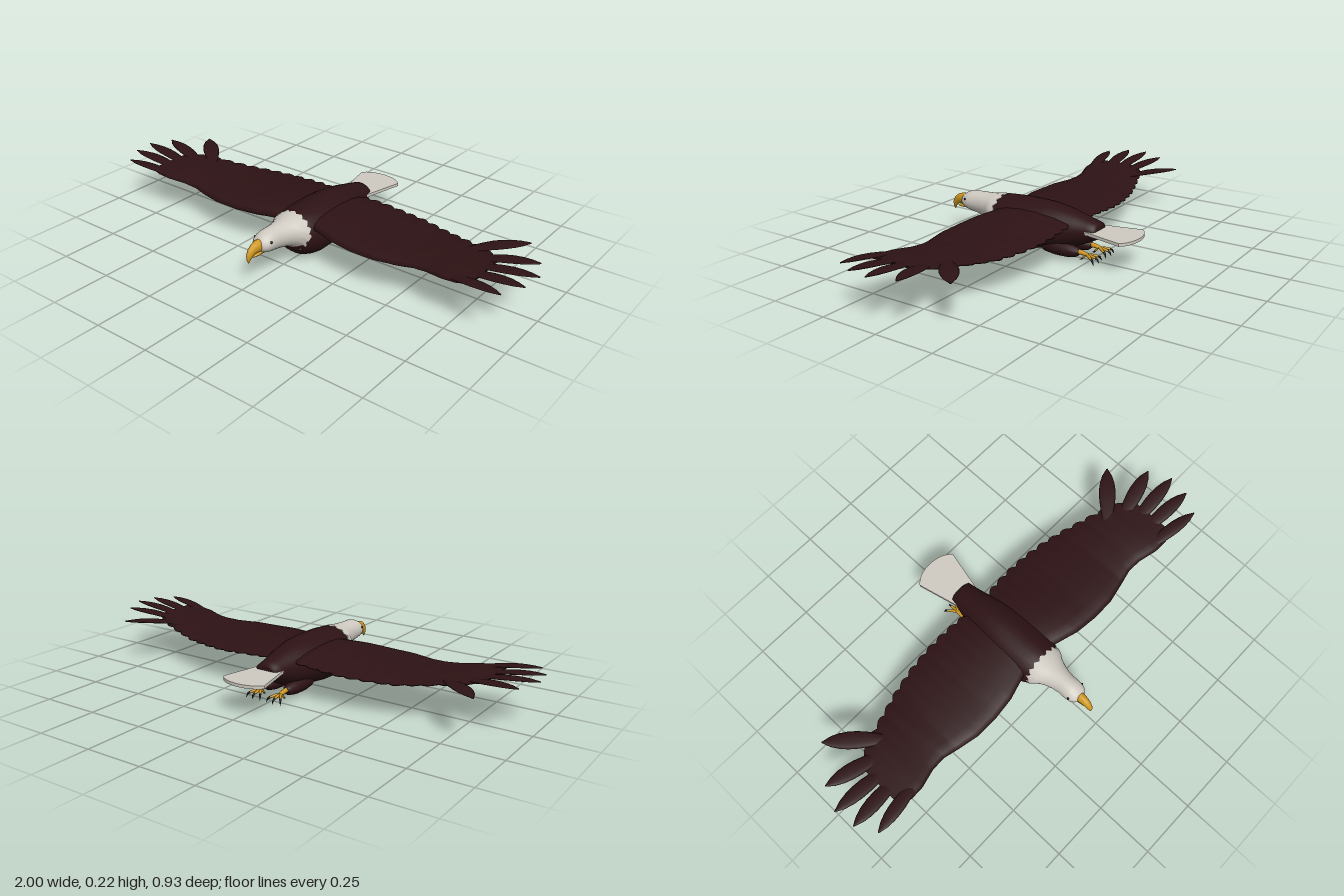
import * as THREE from 'three';

const mat = (name, color) => Object.assign(new THREE.MeshStandardMaterial({ color }), { name });
const V = (x, y, z) => new THREE.Vector3(x, y, z);

// Skin over closed rings of points, with flat caps at both ends
function loft(rings) {
  const n = rings[0].length, pos = [], idx = [];
  const add = (p) => pos.push(p.x, p.y, p.z) / 3 - 1;
  rings.forEach((r) => r.forEach(add));
  for (let k = 0; k < rings.length - 1; k++) {
    for (let j = 0; j < n; j++) {
      const a = k * n + j, b = k * n + (j + 1) % n;
      idx.push(a, b, b + n, a, b + n, a + n);
    }
  }
  [rings[0], rings[rings.length - 1]].forEach((r, end) => {
    const c = add(r.reduce((s, p) => s.add(p), V(0, 0, 0)).divideScalar(n));
    const first = c + 1;
    r.forEach(add);
    for (let j = 0; j < n; j++) {
      const a = first + j, b = first + (j + 1) % n;
      end ? idx.push(c, a, b) : idx.push(c, b, a);
    }
  });
  const g = new THREE.BufferGeometry();
  g.setAttribute('position', new THREE.Float32BufferAttribute(pos, 3));
  g.setIndex(idx);
  g.computeVertexNormals();
  return g;
}

// Upright oval rings from [z, top, bottom, halfWidth], listed back to front
function ovalBody(stations, n, jag = () => 0) {
  return loft(stations.map(([z, top, bottom, w], k) => Array.from({ length: n }, (_, j) => {
    const a = j / n * Math.PI * 2;
    return V(Math.cos(a) * w, (top + bottom) / 2 + Math.sin(a) * (top - bottom) / 2, z + jag(k, j, a));
  })));
}

// Oval section swept along a path, half widths and half heights given at each point
function sweep(path, widths, heights, side = V(1, 0, 0), n = 10) {
  return loft(path.map((p, k) => {
    const d = path[Math.min(k + 1, path.length - 1)].clone().sub(path[Math.max(k - 1, 0)]).normalize();
    const e1 = side.clone().addScaledVector(d, -side.dot(d)).normalize();
    const e2 = d.clone().cross(e1);
    return Array.from({ length: n }, (_, j) => {
      const a = j / n * Math.PI * 2;
      return p.clone().addScaledVector(e1, Math.cos(a) * widths[k]).addScaledVector(e2, Math.sin(a) * heights[k]);
    });
  }));
}

// Eased lookup in a list of [x, value]
function lookup(table, x) {
  let i = 0;
  while (i < table.length - 2 && x > table[i + 1][0]) i++;
  const [x0, a] = table[i], [x1, b] = table[i + 1];
  const t = THREE.MathUtils.clamp((x - x0) / (x1 - x0), 0, 1);
  return a + (b - a) * t;
}

const LEADING = [[0.03, 0.15], [0.1, 0.17], [0.2, 0.198], [0.3, 0.208], [0.4, 0.207], [0.48, 0.19], [0.56, 0.172], [0.62, 0.175], [0.7, 0.197], [0.76, 0.2], [0.81, 0.185]];
const TRAILING = [[0.03, -0.16], [0.1, -0.185], [0.2, -0.19], [0.3, -0.188], [0.4, -0.175], [0.5, -0.152], [0.6, -0.12], [0.7, -0.085], [0.77, -0.05], [0.81, -0.02]];
const HEIGHT = [[0.03, 0.16], [0.15, 0.157], [0.3, 0.149], [0.5, 0.148], [0.6, 0.157], [0.7, 0.17], [0.81, 0.181]];
const THICK = [[0.03, 0.035], [0.15, 0.03], [0.4, 0.022], [0.55, 0.018], [0.7, 0.011], [0.81, 0.005]];

// Wing section: rounded front, thin back, scalloped trailing edge
function wingGeometry(s) {
  const us = [1, 0.8, 0.55, 0.32, 0.14, 0.04];
  const rings = [];
  for (let i = 0; i <= 78; i++) {
    const x = 0.03 + i * 0.01;
    const lead = lookup(LEADING, x);
    const back = lookup(TRAILING, x) - 0.014 * Math.abs(Math.sin(Math.PI * x / 0.06));
    const y = lookup(HEIGHT, x), t = lookup(THICK, x);
    const point = (u, up) => V(s * x, y + up * (0.003 + (t - 0.003) * 1.9 * Math.sqrt(u) * (1 - u) ** 0.8 * 1.25), lead + (back - lead) * u);
    rings.push([...us.map((u) => point(u, 1)), V(s * x, y, lead + 0.003), ...us.slice().reverse().map((u) => point(u, -1))]);
  }
  return loft(s > 0 ? rings : rings.reverse());
}

export function createModel() {
  const brown = mat('dark brown plumage', 0x2d1214);
  const white = mat('white plumage', 0xcfcac1);
  const yellow = mat('yellow beak and feet', 0xcf9820);
  const black = mat('black eyes and claws', 0x0d0909);

  const model = new THREE.Group();
  model.name = 'eagle';
  const add = (name, geometry, material, parent = model) => {
    const m = new THREE.Mesh(geometry, material);
    m.name = name;
    parent.add(m);
    return m;
  };

  // Body
  add('body', ovalBody([
    [-0.29, 0.16, 0.11, 0.04], [-0.283, 0.172, 0.1, 0.052], [-0.25, 0.181, 0.083, 0.058],
    [-0.2, 0.194, 0.06, 0.07], [-0.15, 0.206, 0.04, 0.085], [-0.1, 0.214, 0.028, 0.098],
    [-0.05, 0.219, 0.02, 0.108], [0, 0.22, 0.013, 0.115], [0.05, 0.22, 0.006, 0.119],
    [0.1, 0.219, 0.003, 0.117], [0.14, 0.217, 0.009, 0.111], [0.175, 0.213, 0.023, 0.101],
    [0.2, 0.207, 0.043, 0.089], [0.218, 0.195, 0.065, 0.072], [0.228, 0.18, 0.09, 0.05],
  ], 28), brown);

  // Head and neck, with a ragged collar
  add('head', ovalBody([
    [0.19, 0.214, 0.055, 0.095], [0.215, 0.21, 0.072, 0.086], [0.235, 0.207, 0.086, 0.07],
    [0.26, 0.205, 0.094, 0.058], [0.29, 0.204, 0.1, 0.049], [0.32, 0.203, 0.106, 0.045],
    [0.345, 0.202, 0.11, 0.046], [0.365, 0.197, 0.114, 0.045], [0.382, 0.189, 0.12, 0.041],
    [0.394, 0.18, 0.127, 0.033], [0.4, 0.17, 0.135, 0.022],
  ], 32, (k, j, a) => (k === 0 ? (j % 2 ? 0.008 : -0.006) - 0.012 * Math.sin(a) : 0)), white);

  // Hooked upper beak and short lower beak
  add('upperBeak', sweep(
    [V(0, 0.153, 0.385), V(0, 0.155, 0.405), V(0, 0.152, 0.425), V(0, 0.143, 0.441), V(0, 0.129, 0.452), V(0, 0.115, 0.456), V(0, 0.1, 0.456)],
    [0.022, 0.02, 0.017, 0.014, 0.011, 0.007, 0.001],
    [0.027, 0.026, 0.023, 0.019, 0.014, 0.008, 0.001], undefined, 14), yellow);
  add('lowerBeak', sweep(
    [V(0, 0.126, 0.375), V(0, 0.124, 0.405), V(0, 0.121, 0.425), V(0, 0.119, 0.437)],
    [0.018, 0.014, 0.01, 0.002], [0.01, 0.009, 0.006, 0.001]), yellow);

  // Fanned tail
  const fan = new THREE.Shape();
  fan.moveTo(-0.055, 0.24);
  fan.lineTo(-0.1, 0.43);
  fan.quadraticCurveTo(-0.07, 0.468, 0, 0.47);
  fan.quadraticCurveTo(0.07, 0.468, 0.1, 0.43);
  fan.lineTo(0.055, 0.24);
  fan.closePath();
  const tail = new THREE.ExtrudeGeometry(fan, { depth: 0.013, bevelEnabled: false, curveSegments: 8 });
  add('tail', tail.rotateX(-Math.PI / 2).translate(0, 0.129, 0), white);

  // Tip feathers as [base x, base z, tip x, tip z, half width]
  const feathers = [
    [0.67, -0.05, 0.85, -0.212, 0.036], [0.72, -0.01, 0.958, -0.07, 0.033],
    [0.74, 0.045, 1.0, 0.03, 0.031], [0.74, 0.1, 0.988, 0.122, 0.031], [0.7, 0.165, 0.94, 0.207, 0.028],
  ];
  const outline = [0.5, 0.75, 0.9, 1, 1, 0.88, 0.6, 0.08];

  for (const s of [1, -1]) {
    const label = s > 0 ? 'left' : 'right';

    // Wing
    const wing = new THREE.Group();
    wing.name = label + 'Wing';
    model.add(wing);
    add('wingSurface', wingGeometry(s), brown, wing);
    feathers.forEach(([bx, bz, tx, tz, w], i) => {
      const base = V(s * bx, 0.17, bz);
      const tip = V(s * tx, 0.18 + (tx - 0.8) * 0.125, tz);
      const side = V(0, 1, 0).cross(tip.clone().sub(base)).normalize();
      const path = outline.map((_, k) => base.clone().lerp(tip, k / (outline.length - 1)));
      path.forEach((p, k) => { p.y += 0.006 * Math.sin(Math.PI * k / 7); });
      add('tipFeather' + (i + 1), sweep(path, outline.map((o) => o * w), outline.map((o) => 0.002 + o * 0.003), side), brown, wing);
    });

    // Eye
    const eye = add(label + 'Eye', new THREE.SphereGeometry(0.005, 12, 8), black);
    eye.position.set(s * 0.042, 0.168, 0.368);

    // Tucked leg with toes and claws
    const leg = new THREE.Group();
    leg.name = label + 'Leg';
    model.add(leg);
    const x = s * 0.05;
    add('thigh', sweep(
      [V(x, 0.06, -0.03), V(x, 0.055, -0.07), V(x, 0.05, -0.12), V(x, 0.047, -0.17), V(x, 0.047, -0.21), V(x, 0.048, -0.224)],
      [0.012, 0.03, 0.035, 0.031, 0.023, 0.012], [0.015, 0.034, 0.034, 0.03, 0.022, 0.012], undefined, 14), brown, leg);
    add('shank', sweep([V(x, 0.05, -0.2), V(x, 0.049, -0.235), V(x, 0.044, -0.265)], [0.011, 0.01, 0.008], [0.012, 0.01, 0.007]), yellow, leg);
    for (const t of [-1, 0, 1]) {
      const at = (r, y) => V(x + t * r * 0.6, y, -0.258 - r * (t ? 0.9 : 1));
      add('toe', sweep([at(0, 0.044), at(0.02, 0.043), at(0.043, 0.038)], [0.006, 0.006, 0.005], [0.006, 0.006, 0.005], undefined, 8), yellow, leg);
      add('claw', sweep([at(0.04, 0.039), at(0.051, 0.033), at(0.058, 0.019)], [0.005, 0.004, 0.0005], [0.005, 0.004, 0.0005], undefined, 8), black, leg);
    }
    add('backToe', sweep([V(x, 0.045, -0.25), V(x, 0.034, -0.247), V(x, 0.027, -0.24)], [0.006, 0.005, 0.004], [0.006, 0.005, 0.004], undefined, 8), yellow, leg);
    add('backClaw', sweep([V(x, 0.028, -0.241), V(x, 0.021, -0.236), V(x, 0.017, -0.226)], [0.004, 0.003, 0.0005], [0.004, 0.003, 0.0005], undefined, 8), black, leg);
  }
  return model;
}
